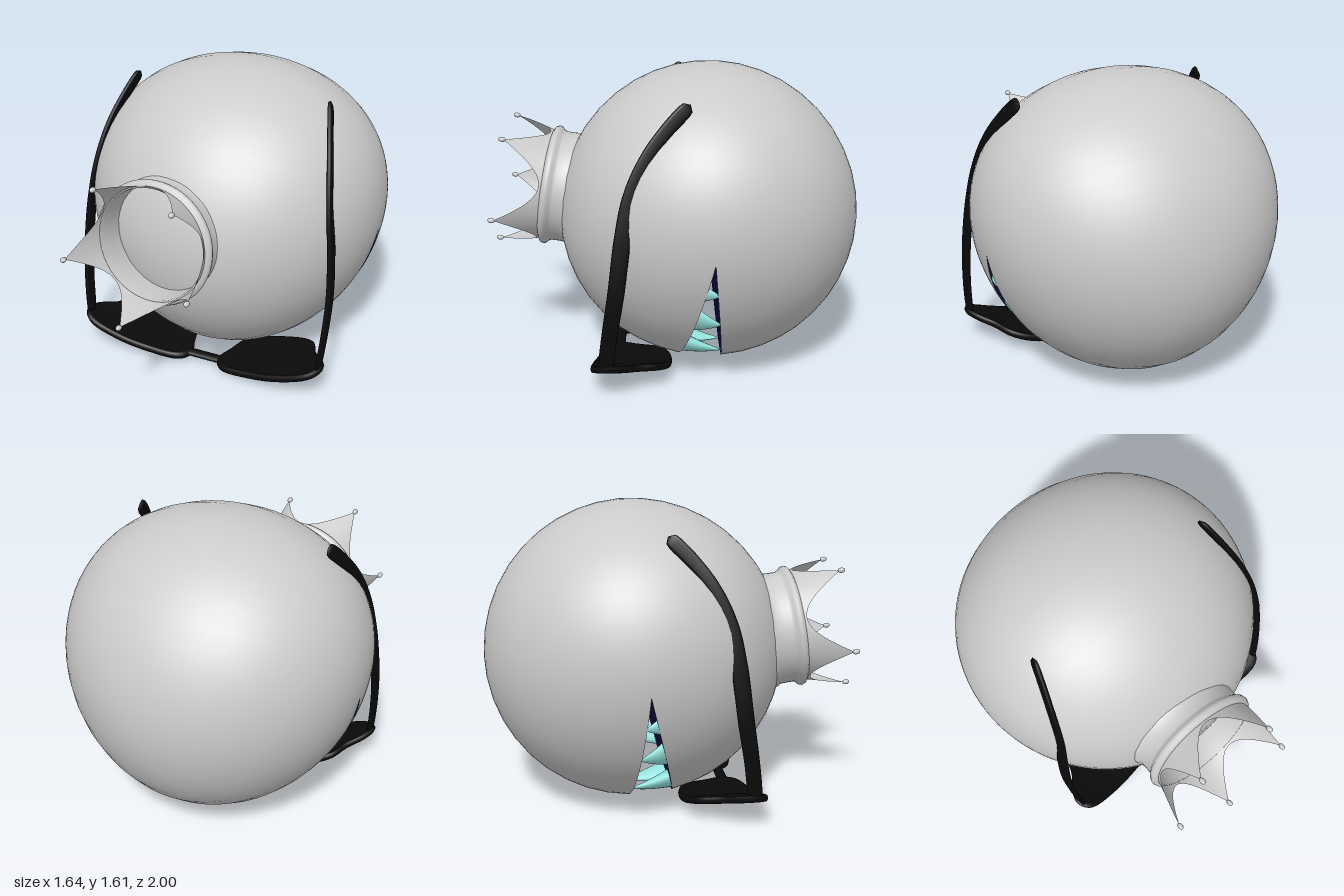
import * as THREE from 'three';
import { ParametricGeometry } from 'three/addons/geometries/ParametricGeometry.js';
import { mergeVertices } from 'three/addons/utils/BufferGeometryUtils.js';

const mat = (color) => new THREE.MeshStandardMaterial({ color, side: THREE.DoubleSide });
const grey = mat(0xcccccc), black = mat(0x0a0a0a), navy = mat(0x0b0b3c), teal = mat(0x97e6e0);

// Smooth, welded surface from a rule (u, v) -> [x, y, z]
function surface(name, rule, nu, nv, material) {
  let g = new ParametricGeometry((u, v, t) => t.set(...rule(u, v)), nu, nv);
  g.deleteAttribute('normal');
  g.deleteAttribute('uv');
  g = mergeVertices(g, 1e-4);
  g.computeVertexNormals();
  const mesh = new THREE.Mesh(g, material);
  mesh.name = name;
  return mesh;
}

// Ball with its poles on the x axis, cheeks lifted a little
const RX = 0.82, R = 0.81, CY = 0.82, CZ = -0.19, HINGE_Y = 0.8;
const lift = (th) => CY + 0.09 * Math.cos(th) ** 2;
const skin = (th, phi) => {
  const rho = R * Math.sin(th);
  return [-RX * Math.cos(th), lift(th) - rho * Math.cos(phi), CZ + rho * Math.sin(phi)];
};
// Angle from straight down to a lip of the mouth; the opening is a wedge in side view
const lipAngle = (th, slope) => {
  const rho = R * Math.sin(th);
  const open = Math.max(0, HINGE_Y - lift(th) + rho);
  return open > 0 ? Math.asin((slope * open) / rho) : 0;
};
const FRONT = 0.235, BACK = 0.09;
const frontLip = (th) => skin(th, lipAngle(th, FRONT));
const backLip = (th) => skin(th, -lipAngle(th, BACK));

function makeBody() {
  const group = new THREE.Group();
  group.name = 'body';
  group.add(surface('ball', (u, v) => {
    const th = u * Math.PI;
    const a = lipAngle(th, FRONT), b = 2 * Math.PI - lipAngle(th, BACK);
    return skin(th, a + (b - a) * v);
  }, 48, 40, grey));
  // Flat mouth walls run from each lip to the hinge line
  for (const [name, lip] of [['upperMouthWall', frontLip], ['lowerMouthWall', backLip]]) {
    group.add(surface(name, (u, v) => {
      const [x, y, z] = lip(u * Math.PI);
      const k = y < HINGE_Y ? v : 0;
      return [x, y + (HINGE_Y - y) * k, z + (CZ - z) * k];
    }, 48, 4, navy));
  }
  return group;
}

// Curved tooth growing from the front lip towards the back lip
function makeTooth(x, halfWidth, depth, length) {
  const th = Math.acos(-x / RX);
  const p = new THREE.Vector3(...frontLip(th));
  const along = new THREE.Vector3(...frontLip(th + 0.01)).sub(p).setZ(0).normalize();
  const inward = new THREE.Vector3(-along.y, along.x, 0);
  if (inward.dot(new THREE.Vector3(-x, 0.8 - p.y, 0)) < 0) inward.negate();
  return surface('tooth', (u, v) => {
    const a = u * Math.PI * 2, s = 1 - v;
    return p.clone()
      .addScaledVector(along, Math.cos(a) * halfWidth * s)
      .addScaledVector(inward, depth * (s ** 1.6 + 0.15 + Math.sin(a) * s))
      .add(new THREE.Vector3(0, 0, 0.015 - (length + 0.015) * v)).toArray();
  }, 16, 8, teal);
}

// Glasses: the frame bends upwards towards the sides
const bend = (x) => 0.04 + 0.32 * x * x;
const lensOutline = new THREE.CatmullRomCurve3([
  [0.08, 0.30], [0.12, 0.37], [0.3, 0.41], [0.5, 0.435], [0.67, 0.425], [0.715, 0.36], [0.69, 0.28],
  [0.62, 0.19], [0.57, 0.08], [0.48, 0.025], [0.27, 0.02], [0.16, 0.07], [0.11, 0.2],
].map(([x, z]) => new THREE.Vector3(x, 0, z)), true);
// Slab cross-section from top centre around the rim to bottom centre: [scale, height]
const slab = [[0, 0.012], [0.5, 0.012], [0.88, 0.012], [0.92, 0.02], [0.98, 0.017],
  [1, 0], [0.98, -0.017], [0.92, -0.02], [0.5, -0.02], [0, -0.02]];
// Temple stations from lens to tip: x, y, z, width
const temple = [[0.685, 0.17, 0.36, 0.08], [0.705, 0.4, 0.33, 0.08], [0.712, 0.62, 0.295, 0.085],
  [0.695, 0.88, 0.262, 0.085], [0.665, 1.1, 0.225, 0.065], [0.63, 1.28, 0.145, 0.062],
  [0.59, 1.41, 0.045, 0.07], [0.545, 1.53, -0.075, 0.08]];

function makeGlasses() {
  const group = new THREE.Group();
  group.name = 'glasses';
  const path = new THREE.CatmullRomCurve3(temple.map(([x, y, z]) => new THREE.Vector3(x, y, z)));
  const power = (c) => Math.sign(c) * Math.abs(c) ** 0.6;
  for (const side of [-1, 1]) {
    group.add(surface('lens', (u, v) => {
      const [s, h] = slab[Math.round(v * (slab.length - 1))];
      const p = lensOutline.getPoint(u % 1);
      const x = 0.4 + (p.x - 0.4) * s;
      return [side * x, bend(x) + h, 0.23 + (p.z - 0.23) * s];
    }, 56, slab.length - 1, black));
    group.add(surface('temple', (u, v) => {
      const p = path.getPoint(v), t = path.getTangent(v);
      const k = v * (temple.length - 1), i = Math.min(Math.floor(k), temple.length - 2);
      const width = THREE.MathUtils.lerp(temple[i][3], temple[i + 1][3], k - i);
      const cap = Math.sqrt(Math.max(0, 1 - Math.abs(2 * v - 1) ** 30));
      const n = Math.hypot(t.y, t.z), a = u * Math.PI * 2;
      const w = power(Math.cos(a)) * width * 0.5 * cap;
      return [side * (p.x + power(Math.sin(a)) * 0.013 * cap), p.y - (t.z / n) * w, p.z + (t.y / n) * w];
    }, 16, 60, black));
  }
  const bridge = new THREE.Mesh(new THREE.CapsuleGeometry(0.025, 0.2, 6, 12), black);
  bridge.name = 'bridge';
  bridge.rotation.z = Math.PI / 2;
  bridge.scale.set(0.7, 1, 1.2);
  bridge.position.set(0, 0.045, 0.3);
  group.add(bridge);
  return group;
}

function makeCrown() {
  const group = new THREE.Group();
  group.name = 'crown';
  // Moulded band
  const profile = [[0.292, -0.05], [0.318, -0.05], [0.322, -0.03], [0.316, -0.01], [0.306, 0],
    [0.303, 0.04], [0.304, 0.08], [0.312, 0.095], [0.326, 0.108], [0.33, 0.122], [0.324, 0.137],
    [0.308, 0.147], [0.294, 0.15], [0.292, 0.05], [0.292, -0.05]];
  const band = new THREE.Mesh(
    new THREE.LatheGeometry(profile.map(([r, h]) => new THREE.Vector2(r, h)), 48), grey);
  band.name = 'band';
  group.add(band);
  // Five flared points with round valleys between them
  const POINTS = 5, START = -25 * Math.PI / 180, TIP = 0.375;
  group.add(surface('points', (u, v) => {
    const a = START + u * Math.PI * 2;
    const t = Math.abs(2 * ((u * POINTS) % 1) - 1);
    const h = 0.135 + v * (0.025 + (TIP - 0.16) * t ** 2);
    const r = 0.3 + 0.068 * ((h - 0.135) / (TIP - 0.135)) ** 1.1;
    return [r * Math.cos(a), h, -r * Math.sin(a)];
  }, POINTS * 20, 8, grey));
  // Beads on the tips
  for (let i = 0; i < POINTS; i++) {
    const a = START + (i / POINTS) * Math.PI * 2;
    const bead = new THREE.Mesh(new THREE.SphereGeometry(0.014, 12, 8), grey);
    bead.name = 'bead';
    bead.scale.y = 1.4;
    bead.position.set(0.368 * Math.cos(a), TIP + 0.008, -0.368 * Math.sin(a));
    group.add(bead);
  }
  group.position.set(-0.09, 0.92, 0.55);
  group.quaternion.setFromUnitVectors(
    new THREE.Vector3(0, 1, 0), new THREE.Vector3(-0.053, 0.146, 1).normalize());
  return group;
}

export function createModel() {
  const model = new THREE.Group();
  model.name = 'crownedBall';
  model.add(makeBody(), makeGlasses(), makeCrown());
  // Teeth: one in the middle, the rest in mirrored pairs
  const teeth = new THREE.Group();
  teeth.name = 'teeth';
  teeth.add(makeTooth(0, 0.12, 0.05, 0.27));
  for (const s of [-1, 1]) {
    teeth.add(makeTooth(s * 0.4, 0.12, 0.055, 0.23), makeTooth(s * 0.67, 0.1, 0.05, 0.14),
      makeTooth(s * 0.77, 0.055, 0.03, 0.075));
  }
  model.add(teeth);
  return model;
}
